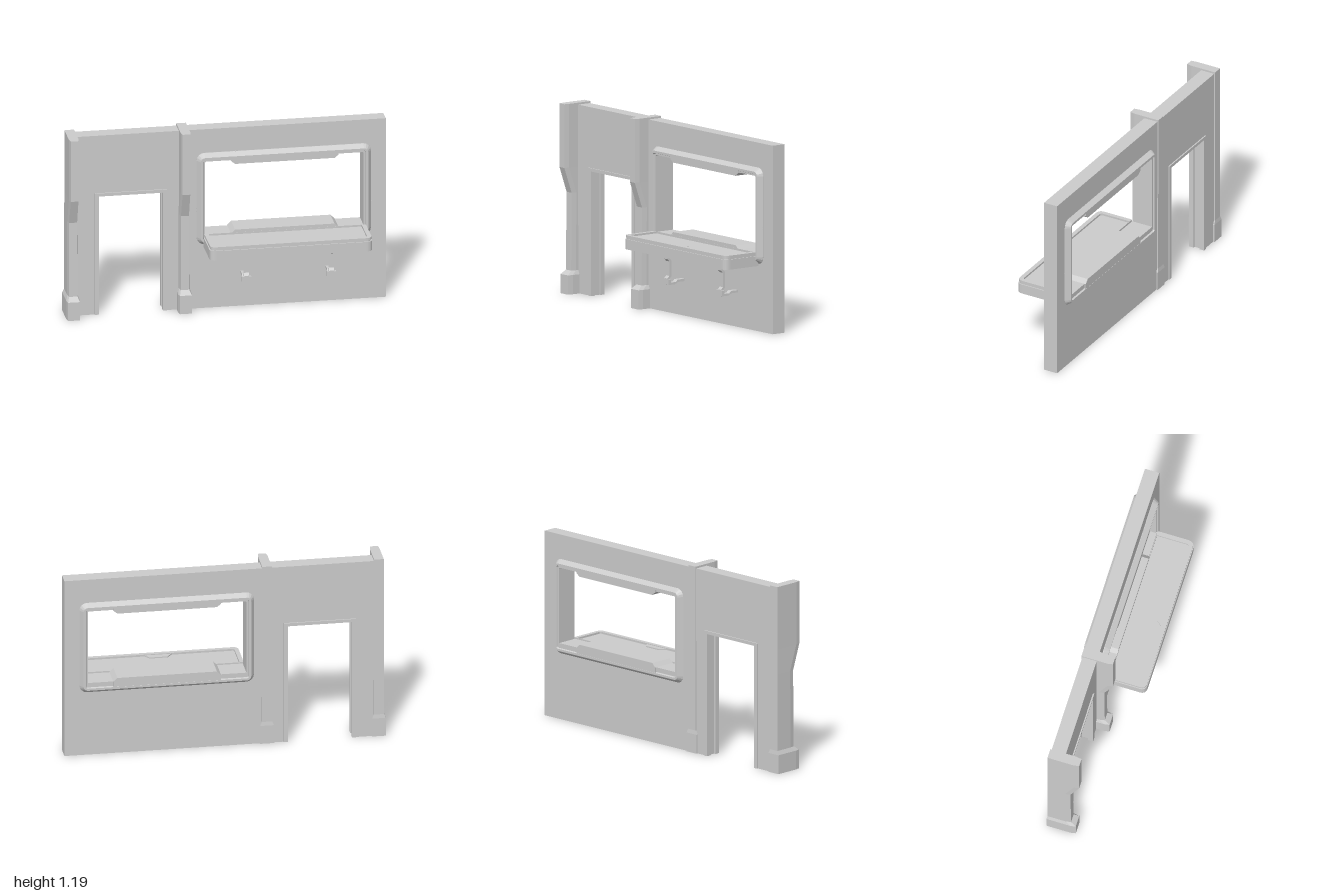
import * as THREE from 'three';

const material = new THREE.MeshStandardMaterial({ color: 0xcccccc, flatShading: true });

function add(group, name, geometry) {
  const mesh = new THREE.Mesh(geometry, material);
  mesh.name = name;
  group.add(mesh);
  return mesh;
}

function box(group, name, x0, x1, y0, y1, z0, z1) {
  const g = new THREE.BoxGeometry(x1 - x0, y1 - y0, z1 - z0);
  return add(group, name, g.translate((x0 + x1) / 2, (y0 + y1) / 2, (z0 + z1) / 2));
}

const polygon = pts => new THREE.Shape(pts.map(p => new THREE.Vector2(...p)));

// Extrude an outline drawn in x, y from z0 to z1
function extrudeZ(shape, z0, z1) {
  return new THREE.ExtrudeGeometry(shape, { depth: z1 - z0, bevelEnabled: false }).translate(0, 0, z0);
}

// Extrude an outline drawn in x, z from y0 to y1
function extrudeY(shape, y0, y1) {
  return new THREE.ExtrudeGeometry(shape, { depth: y1 - y0, bevelEnabled: false, curveSegments: 5 })
    .rotateX(Math.PI / 2).translate(0, y1, 0);
}

// Skin between rings of equal point count, either closed round or capped at both ends
function loft(rings, closed = false) {
  const n = rings[0].length, m = rings.length, index = [];
  for (let r = 0; r < (closed ? m : m - 1); r++) {
    for (let i = 0; i < n; i++) {
      const j = (i + 1) % n, s = (r + 1) % m;
      const a = r * n + i, b = r * n + j, c = s * n + j, d = s * n + i;
      index.push(a, b, c, a, c, d);
    }
  }
  if (!closed) {
    const t = (m - 1) * n;
    for (let i = 1; i < n - 1; i++) index.push(0, i + 1, i, t, t + i, t + i + 1);
  }
  const g = new THREE.BufferGeometry();
  g.setAttribute('position', new THREE.Float32BufferAttribute(rings.flat(2), 3));
  g.setIndex(index);
  const flat = g.toNonIndexed();
  flat.computeVertexNormals();
  return flat;
}

// Rounded rectangle ring in x, y at depth z
function roundedRing(x0, x1, y0, y1, r, z) {
  const ring = [], steps = 4;
  const corners = [[x1 - r, y0 + r, -1], [x1 - r, y1 - r, 0], [x0 + r, y1 - r, 1], [x0 + r, y0 + r, 2]];
  for (const [cx, cy, q] of corners) {
    for (let i = 0; i <= steps; i++) {
      const a = (q + i / steps) * Math.PI / 2;
      ring.push([cx + r * Math.cos(a), cy + r * Math.sin(a), z]);
    }
  }
  return ring;
}

// Counter outline in x, z with rounded front corners
function counterOutline(inset, back) {
  const x0 = -0.14 + inset, x1 = 0.873 - inset, z = 0.197 - inset, r = Math.max(0.015, 0.04 - inset);
  const s = new THREE.Shape();
  s.moveTo(x0, back);
  s.lineTo(x1, back);
  s.lineTo(x1, z - r);
  s.quadraticCurveTo(x1, z, x1 - r, z);
  s.lineTo(x0 + r, z);
  s.quadraticCurveTo(x0, z, x0, z - r);
  s.closePath();
  return s;
}

// Pillar: chamfered section lofted up its height, [y, front z, back z, half width]
function pillar(x) {
  const levels = [
    [0, 0.012, -0.175, 0.043], [0.12, 0.012, -0.175, 0.043], [0.145, -0.022, -0.172, 0.032],
    [0.63, -0.026, -0.172, 0.031], [0.79, 0.03, -0.172, 0.03], [1.187, 0.03, -0.172, 0.03],
  ];
  return loft(levels.map(([y, f, b, h]) => [
    [x + h - 0.006, y, f], [x + h, y, f - 0.033], [x + h, y, b],
    [x - h, y, b], [x - h, y, f - 0.033], [x - h + 0.006, y, f],
  ]));
}

export function createModel() {
  const model = new THREE.Group();
  model.name = 'wallWithDoorwayAndServingCounter';

  // Wall with door notch and window hole
  const wall = polygon([[-0.98, 0], [-0.802, 0], [-0.802, 0.787], [-0.378, 0.787], [-0.378, 0],
    [1, 0], [1, 1.175], [-0.98, 1.175]]);
  wall.holes.push(polygon([[-0.15, 0.45], [-0.15, 0.99], [0.875, 0.99], [0.875, 0.45]]));
  add(model, 'wall', extrudeZ(wall, -0.165, -0.073));

  // Pillars
  for (const x of [-0.957, -0.26]) add(model, 'pillar', pillar(x));

  // Door trim on both faces, leaving a groove round the jamb
  for (const [z0, z1] of [[-0.098, -0.065], [-0.173, -0.14]]) {
    const trim = polygon([[-0.815, 0], [-0.79, 0], [-0.79, 0.777], [-0.39, 0.777], [-0.39, 0],
      [-0.365, 0], [-0.365, 0.797], [-0.815, 0.797]]);
    add(model, 'doorTrim', extrudeZ(trim, z0, z1));
  }

  // Window frame: bevelled profile of [inset, z] run round the opening
  const profile = [[0, -0.165], [0, -0.07], [0.022, -0.038], [0.036, -0.038], [0.04, -0.05],
    [0.05, -0.05], [0.05, -0.185], [0.04, -0.185], [0.036, -0.196], [0.022, -0.196]];
  add(model, 'windowFrame', loft(profile.map(([d, z]) =>
    roundedRing(-0.18 + d, 0.907 - d, 0.42 + d, 1.02 - d, Math.max(0.008, 0.048 - d), z)), true));

  // Sill, and the raised plates at the bottom and top of the opening
  box(model, 'sill', -0.135, 0.862, 0.465, 0.49, -0.186, -0.045);
  add(model, 'sillPlate', extrudeZ(polygon([[0.03, 0.455], [0.7, 0.455], [0.7, 0.49], [0.675, 0.515],
    [0.055, 0.515], [0.03, 0.49]]), -0.195, -0.04));
  add(model, 'headPlate', extrudeZ(polygon([[0.055, 0.948], [0.675, 0.948], [0.7, 0.968], [0.7, 0.99],
    [0.03, 0.99], [0.03, 0.968]]), -0.196, -0.038));

  // Thin joint strips on the frame sides and top
  for (const y of [0.637, 0.653]) {
    for (const [x0, x1] of [[-0.182, -0.165], [0.892, 0.909]]) {
      box(model, 'frameJoint', x0, x1, y, y + 0.004, -0.167, -0.068);
    }
  }
  for (const x of [0.06, 0.66]) box(model, 'frameJoint', x, x + 0.005, 1.005, 1.022, -0.167, -0.068);

  // Counter: slab, shadow gap, recessed top and raised rim
  add(model, 'counterSlab', extrudeY(counterOutline(0, -0.06), 0.41, 0.473));
  add(model, 'counterTop', extrudeY(counterOutline(0.007, -0.06), 0.473, 0.485));
  const rim = counterOutline(0.003, -0.04);
  rim.holes.push(new THREE.Path(counterOutline(0.03, -0.039).getPoints(5)));
  add(model, 'counterRim', extrudeY(rim, 0.483, 0.497));
  add(model, 'counterTab', extrudeY(polygon([[0.28, 0.168], [0.31, 0.13], [0.42, 0.13], [0.45, 0.168]]),
    0.484, 0.492));

  // Tapered underside of the counter
  const under = (x0, x1, z, y) => [[x1, y, z], [x1, y, -0.075], [x0, y, -0.075], [x0, y, z]];
  add(model, 'counterUnderside', loft([under(0.0, 0.75, 0.09, 0.387), under(-0.1, 0.835, 0.168, 0.412)]));

  // Cranked brackets, outline in z, y
  const crank = polygon([[0.06, 0.39], [0.06, 0.365], [0.045, 0.35], [0.045, 0.26], [0.06, 0.245],
    [0.06, 0.215], [0.052, 0.203], [0, 0.203], [-0.02, 0.215], [-0.08, 0.215], [-0.08, 0.23],
    [-0.02, 0.23], [-0.005, 0.217], [0.045, 0.217], [0.045, 0.24], [0.03, 0.255], [0.03, 0.355],
    [0.045, 0.37], [0.045, 0.39]]);
  for (const x of [0.11, 0.64]) {
    const bracket = new THREE.Group();
    bracket.name = 'bracket';
    add(bracket, 'bracketBar', extrudeZ(crank, -0.016, 0.016).rotateY(-Math.PI / 2).translate(x, 0, 0));
    box(bracket, 'bracketFoot', x - 0.029, x + 0.029, 0.206, 0.24, 0.043, 0.061);
    box(bracket, 'bracketPlate', x - 0.035, x + 0.035, 0.376, 0.39, 0.035, 0.068);
    model.add(bracket);
  }
  return model;
}
